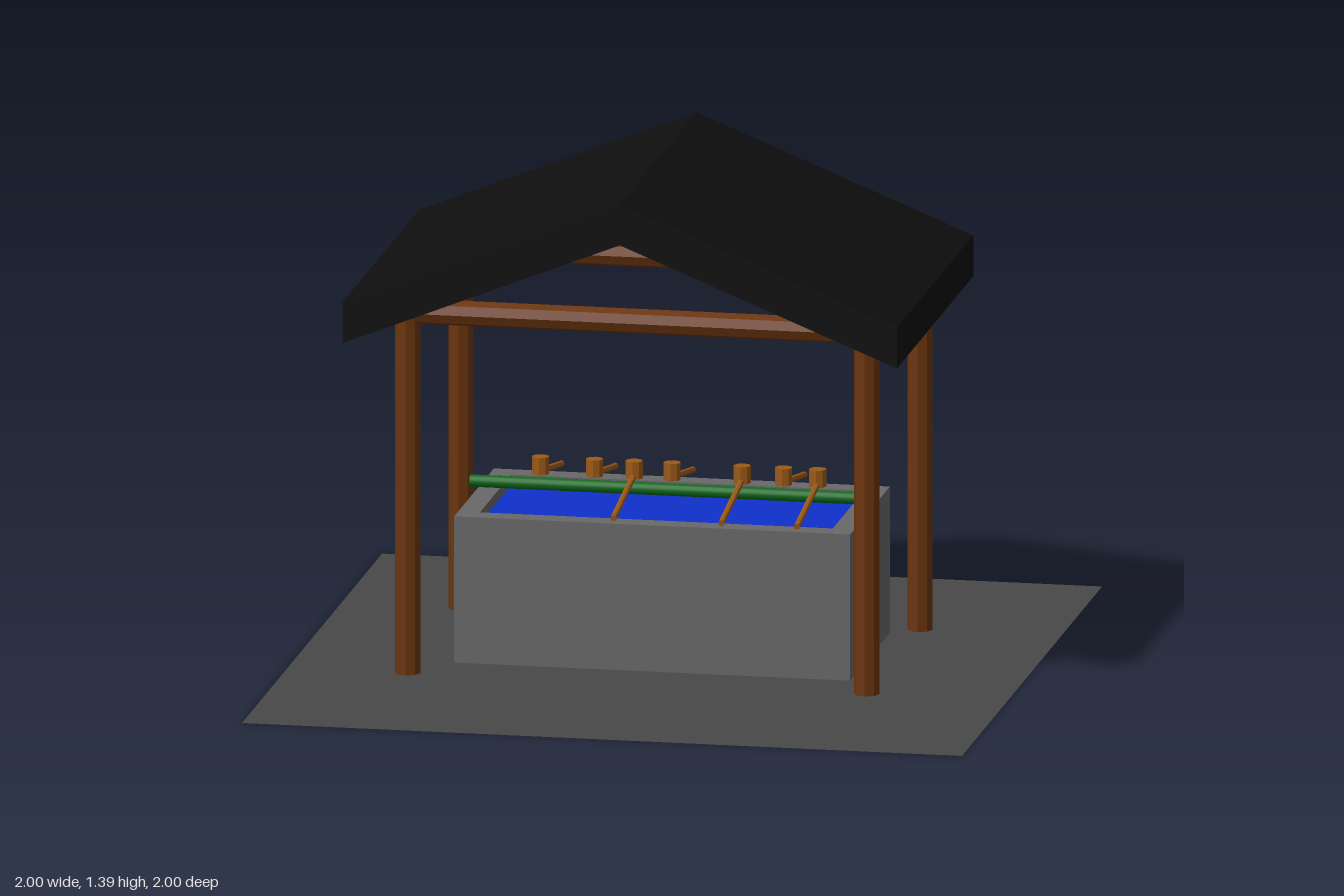
import * as THREE from 'three';

const mat = (color, extra = {}) => new THREE.MeshStandardMaterial({ color, ...extra });

export function createModel() {
  const group = new THREE.Group();
  const wood = mat(0x6b350f, { flatShading: true });
  const paleWood = mat(0x9c5a18, { flatShading: true });
  const stone = mat(0x686868);
  const roofBlack = mat(0x0e0e0e);

  const add = (name, geometry, material, parent = group) => {
    const mesh = new THREE.Mesh(geometry, material);
    mesh.name = name;
    parent.add(mesh);
    return mesh;
  };

  // round bar between two points
  const bar = (name, a, b, radius, sides, material, parent) => {
    const from = new THREE.Vector3(...a), to = new THREE.Vector3(...b);
    const dir = to.clone().sub(from);
    const mesh = add(name, new THREE.CylinderGeometry(radius, radius, dir.length(), sides), material, parent);
    mesh.position.copy(from).add(to).multiplyScalar(0.5);
    mesh.quaternion.setFromUnitVectors(new THREE.Vector3(0, 1, 0), dir.normalize());
    return mesh;
  };

  // ground sheet
  add('ground', new THREE.PlaneGeometry(2, 2).rotateX(-Math.PI / 2), mat(0x484848, { side: THREE.DoubleSide }));

  // posts and the ring of beams on top of them
  const left = 0.615, right = -0.66, depth = 0.38, beamY = 1.025;
  for (const z of [depth, -depth]) {
    for (const x of [left, right]) bar('post', [x, 0.01, z], [x, 1.03, z], 0.035, 8, wood);
    bar('crossBeam', [right, beamY, z], [left, beamY, z], 0.035, 8, wood);
  }
  for (const x of [left, right]) bar('sideBeam', [x, beamY, -depth], [x, beamY, depth], 0.035, 8, wood);

  // gabled roof slab, ridge along z
  const gable = new THREE.Shape([
    [-0.81, 0.965], [-0.04, 1.275], [0.73, 0.965], [0.73, 1.08], [-0.04, 1.39], [-0.81, 1.08],
  ].map(([x, y]) => new THREE.Vector2(x, y)));
  add('roof', new THREE.ExtrudeGeometry(gable, { depth: 1.09, bevelEnabled: false }), roofBlack).position.z = -0.55;

  // stone basin: hollow walls, floor and water
  const rect = (w, d, Type) => new Type([
    [-w, -d], [w, -d], [w, d], [-w, d],
  ].map(([x, y]) => new THREE.Vector2(x, y)));
  const rim = rect(0.55, 0.283, THREE.Shape);
  rim.holes.push(rect(0.49, 0.223, THREE.Path));
  const walls = new THREE.ExtrudeGeometry(rim, { depth: 0.41, bevelEnabled: false }).rotateX(-Math.PI / 2);
  add('basinWalls', walls, stone).position.y = 0.02;
  add('basinFloor', new THREE.BoxGeometry(0.98, 0.04, 0.446), stone).position.y = 0.04;
  add('water', new THREE.PlaneGeometry(0.98, 0.446).rotateX(-Math.PI / 2), mat(0x1030cc)).position.y = 0.4;

  // green pole the ladles rest on
  bar('ladleRest', [-0.56, 0.463, 0], [0.56, 0.463, 0], 0.017, 16, mat(0x0c6a1a));

  // ladles: [x, direction of the handle along z]
  const ladles = [[-0.365, -1], [-0.215, -1], [-0.105, 1], [0, -1], [0.195, 1], [0.31, -1], [0.405, 1]];
  for (const [x, side] of ladles) {
    const ladle = new THREE.Group();
    ladle.name = 'ladle';
    ladle.position.x = x;
    bar('ladleCup', [0, 0.492, 0], [0, 0.54, 0], 0.024, 8, paleWood, ladle);
    bar('ladleHandle', [0, 0.5, 0], [0, 0.449, side * 0.298], 0.009, 8, paleWood, ladle);
    group.add(ladle);
  }

  return group;
}
